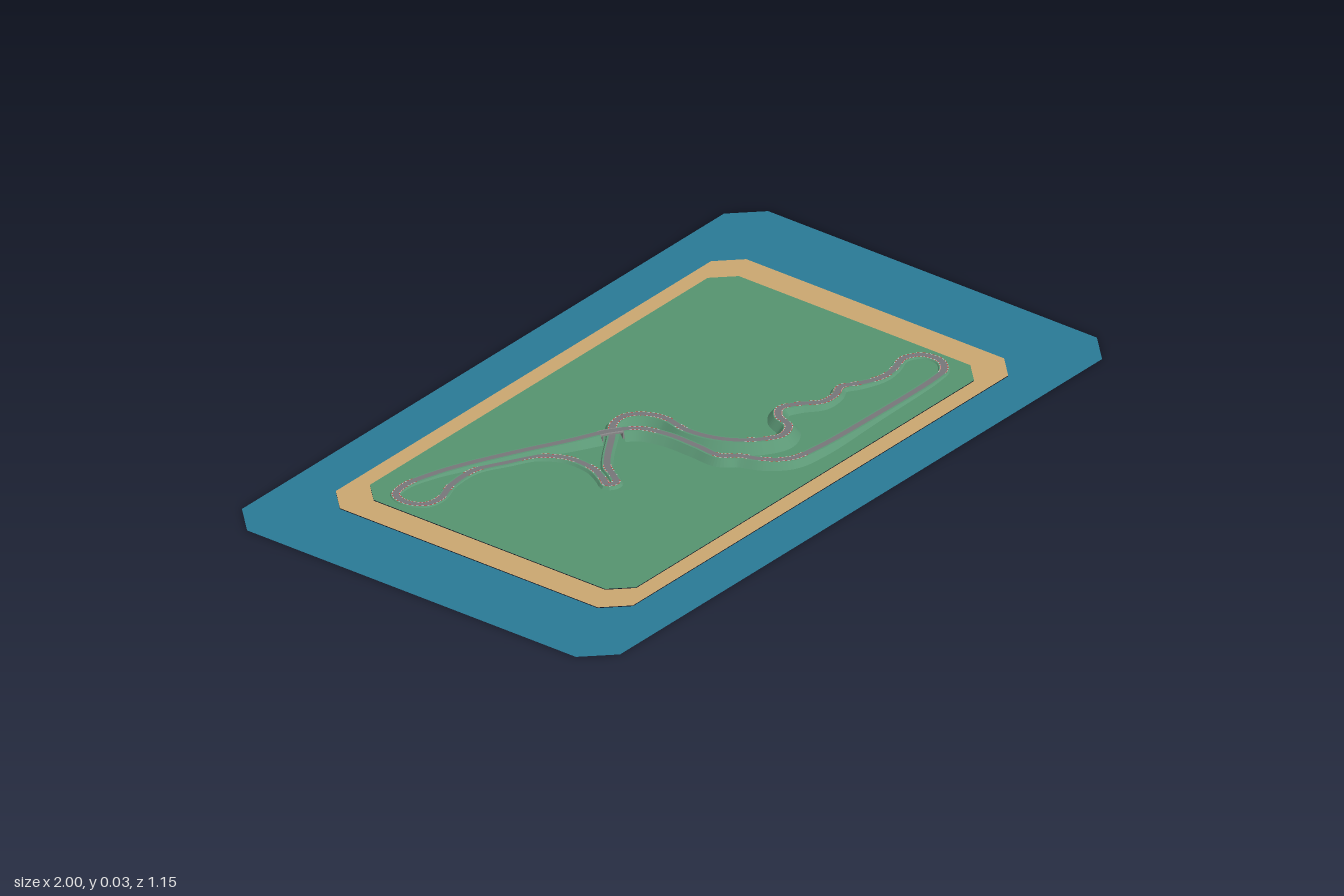
import * as THREE from 'three';

const GROUND = 0.004;
const ROAD = 0.008; // half width of the asphalt
const SHOULDER = 0.012;

// Centre line as [x, z, height]: straight, western loop, hairpin
const west = [
  [0.59, 0.33, 0.008], [0.35, 0.335, 0.012], [0.14, 0.335, 0.019], [0.055, 0.32, 0.02],
  [0.01, 0.275, 0.021], [-0.015, 0.215, 0.021], [-0.042, 0.18, 0.021], [-0.04, 0.11, 0.022],
  [-0.04, 0.02, 0.023], [-0.06, -0.05, 0.024], [-0.11, -0.095, 0.024], [-0.21, -0.15, 0.021],
  [-0.32, -0.215, 0.017], [-0.45, -0.285, 0.012], [-0.52, -0.315, 0.009], [-0.6, -0.335, 0.007],
  [-0.65, -0.325, 0.006], [-0.665, -0.285, 0.006], [-0.645, -0.24, 0.006], [-0.6, -0.23, 0.006],
  [-0.53, -0.25, 0.006], [-0.44, -0.25, 0.007], [-0.365, -0.213, 0.008], [-0.3, -0.175, 0.009],
  [-0.262, -0.11, 0.01], [-0.265, -0.03, 0.01], [-0.29, 0.02, 0.01], [-0.305, 0.045, 0.01],
  [-0.285, 0.055, 0.01], [-0.262, 0.03, 0.01], [-0.235, -0.01, 0.009], [-0.19, -0.045, 0.008],
];
// Underpass, climb, winding eastern section and final bend
const east = [
  [-0.11, -0.095, 0.009], [-0.065, -0.125, 0.014], [-0.03, -0.12, 0.021], [0.005, -0.08, 0.024],
  [0.015, -0.03, 0.025], [0, 0.04, 0.026], [0.005, 0.11, 0.028], [0.03, 0.17, 0.029],
  [0.07, 0.215, 0.029], [0.12, 0.24, 0.027], [0.17, 0.22, 0.025], [0.195, 0.17, 0.022],
  [0.235, 0.145, 0.019], [0.28, 0.165, 0.017], [0.325, 0.2, 0.015], [0.375, 0.2, 0.013],
  [0.415, 0.185, 0.012], [0.46, 0.21, 0.011], [0.52, 0.23, 0.009], [0.57, 0.225, 0.008],
  [0.625, 0.21, 0.007], [0.665, 0.235, 0.007], [0.67, 0.285, 0.007], [0.64, 0.32, 0.007],
];

function material(color) {
  return new THREE.MeshStandardMaterial({ color, side: THREE.DoubleSide });
}

// Rectangle with cut corners
function outline(Type, x, z, c) {
  return new Type([
    [x - c, -z], [x, c - z], [x, z - c], [x - c, z],
    [c - x, z], [-x, z - c], [-x, c - z], [c - x, -z],
  ].map(([a, b]) => new THREE.Vector2(a, b)));
}

function plate(name, color, y, outer, inner) {
  const shape = outline(THREE.Shape, ...outer);
  if (inner) shape.holes.push(outline(THREE.Path, ...inner));
  const mesh = new THREE.Mesh(new THREE.ShapeGeometry(shape).rotateX(-Math.PI / 2), material(color));
  mesh.name = name;
  mesh.position.y = y;
  return mesh;
}

// Points along the track with sideways direction, bend and bridge flag
function trackFrames(count) {
  const curve = new THREE.CatmullRomCurve3(
    [...west, ...east].map(([x, z, y]) => new THREE.Vector3(x, y, z)), true, 'centripetal');
  curve.arcLengthDivisions = 2000;
  const frames = [];
  for (let i = 0; i < count; i++) {
    const p = curve.getPointAt(i / count);
    const t = curve.getTangentAt(i / count);
    const side = new THREE.Vector3(t.z, 0, -t.x).normalize();
    const bridge = p.y > 0.018 && Math.hypot(p.x + 0.11, p.z + 0.095) < 0.03;
    frames.push({ p, side, bridge });
  }
  frames.forEach((f, i) => {
    f.bend = f.side.angleTo(frames[(i + 4) % count].side);
  });
  return frames;
}

// Sweeps a cross-section of [sideways, height] points along the kept segments
function sweep(name, color, frames, section, keep) {
  const positions = [];
  const at = (f, [s, y]) => [f.p.x + f.side.x * s, y, f.p.z + f.side.z * s];
  frames.forEach((f, i) => {
    if (!keep(f, i)) return;
    const next = frames[(i + 1) % frames.length];
    const s0 = section(f);
    const s1 = section(next);
    for (let j = 0; j < s0.length - 1; j++) {
      const a = at(f, s0[j]), b = at(f, s0[j + 1]);
      const c = at(next, s1[j + 1]), d = at(next, s1[j]);
      positions.push(...a, ...d, ...b, ...b, ...d, ...c);
    }
  });
  const geometry = new THREE.BufferGeometry();
  geometry.setAttribute('position', new THREE.Float32BufferAttribute(positions, 3));
  geometry.computeVertexNormals();
  const mesh = new THREE.Mesh(geometry, material(color));
  mesh.name = name;
  return mesh;
}

export function createModel() {
  const model = new THREE.Group();
  model.name = 'raceTrackIsland';

  // Flat island, one ring inside the other
  const shore = [0.78, 0.452, 0.06];
  const lawn = [0.701, 0.405, 0.053];
  model.add(
    plate('sea', 0x2a7a96, 0, [1, 0.575, 0.075], shore),
    plate('beach', 0xcba871, 0.002, shore, lawn),
    plate('grass', 0x569470, GROUND, lawn),
  );

  const frames = trackFrames(720);
  const track = new THREE.Group();
  track.name = 'track';
  model.add(track);

  // Earth bank under the road, wider where the road is higher
  track.add(sweep('embankment', 0x5c9876, frames, ({ p }) => {
    const foot = SHOULDER + 0.8 * (p.y - GROUND);
    return [[-foot, GROUND], [-SHOULDER, p.y], [SHOULDER, p.y], [foot, GROUND]];
  }, (f) => !f.bridge));

  // Bridge slab over the lower road, with an abutment at each end
  track.add(sweep('bridgeDeck', 0x8c8c8c, frames, ({ p }) => {
    const low = p.y - 0.004;
    return [[-SHOULDER, low], [-SHOULDER, p.y], [SHOULDER, p.y], [SHOULDER, low], [-SHOULDER, low]];
  }, (f) => f.bridge));
  const span = frames.filter((f) => f.bridge);
  for (const { p, side } of [span[0], span[span.length - 1]]) {
    const height = p.y - GROUND - 0.001;
    const abutment = new THREE.Mesh(new THREE.BoxGeometry(2 * SHOULDER, height, 0.003), material(0x8c8c8c));
    abutment.name = 'bridgeAbutment';
    abutment.position.set(p.x, GROUND + height / 2, p.z);
    abutment.rotation.y = Math.atan2(-side.z, side.x);
    track.add(abutment);
  }

  // Asphalt
  track.add(sweep('road', 0x77777a, frames,
    ({ p }) => [[-ROAD, p.y + 0.0008], [ROAD, p.y + 0.0008]], () => true));

  // Striped kerbs on both edges of the bends
  for (const sign of [-1, 1]) {
    [0xc8403a, 0xe8e8e8].forEach((color, stripe) => {
      track.add(sweep(stripe ? 'whiteKerb' : 'redKerb', color, frames, ({ p }) => {
        const edges = [sign * ROAD, sign * (ROAD + 0.002)].sort((a, b) => a - b);
        return edges.map((s) => [s, p.y + 0.0012]);
      }, (f, i) => f.bend > 0.12 && i % 2 === stripe));
    });
  }
  return model;
}
